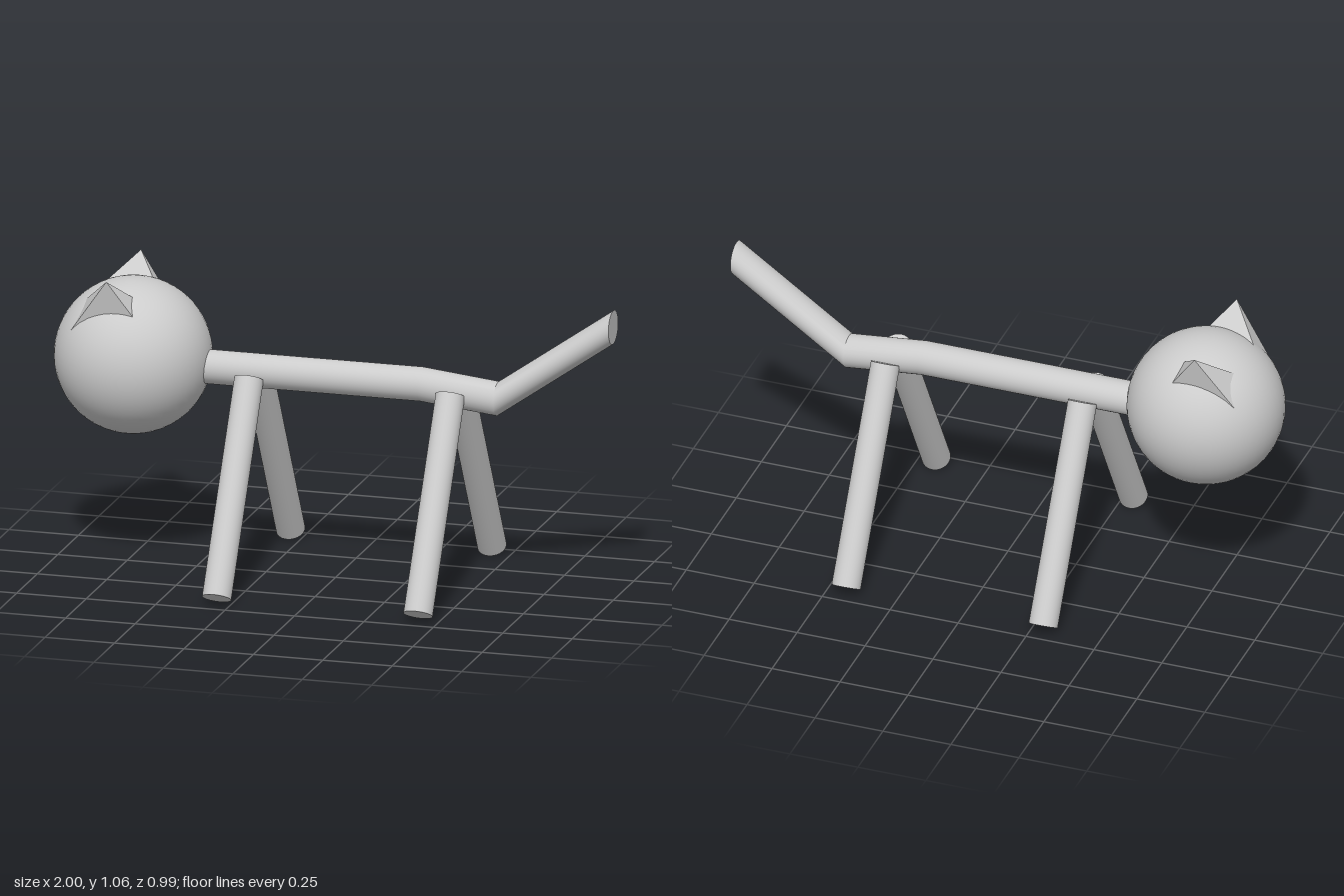
import * as THREE from 'three';
import { toCreasedNormals } from 'three/addons/utils/BufferGeometryUtils.js';

const HEAD = new THREE.Vector3(-0.725, 0.75, 0.01);

export function createModel() {
  const group = new THREE.Group();
  const material = new THREE.MeshStandardMaterial({ color: 0xcccccc });
  const add = (name, geometry, mat = material) => {
    const mesh = new THREE.Mesh(geometry, mat);
    mesh.name = name;
    group.add(mesh);
    return mesh;
  };

  // Head
  add('head', new THREE.SphereGeometry(0.275, 48, 32)).position.copy(HEAD);

  // Body and tail: one rod whose upright round sections follow a bent line
  const spine = [[-0.52, 0.725], [0.31, 0.725], [0.585, 0.695], [1, 0.985]];
  const rod = new THREE.CylinderGeometry(0.06, 0.06, 3, 32, 3);
  rod.rotateZ(-Math.PI / 2);
  const p = rod.attributes.position;
  for (let i = 0; i < p.count; i++) {
    const [x, y] = spine[Math.round(p.getX(i) + 1.5)];
    p.setXYZ(i, x, p.getY(i) + y, p.getZ(i));
  }
  add('bodyAndTail', toCreasedNormals(rod, 0.5));

  // Legs: splayed 30 degrees to each side
  const legs = { front: -0.295, rear: 0.43 };
  for (const [end, x] of Object.entries(legs)) {
    for (const side of [1, -1]) {
      const leg = add(`${end}Leg${side > 0 ? 'Near' : 'Far'}`,
        new THREE.CylinderGeometry(0.051, 0.051, 0.785, 32));
      leg.position.set(x, 0.37, side * 0.2535);
      leg.rotation.x = -side * Math.PI / 6;
    }
  }

  // Ears: leaning four-sided spikes with their base corners in the head
  const flat = material.clone();
  flat.flatShading = true;
  const apex = [-0.76, 1.065, 0.212];
  const corners = [
    [-0.92, 0.84, 0.17], [-0.66, 0.925, 0.188],
    [-0.675, 0.975, 0.105], [-0.875, 0.955, 0.085],
  ];
  for (const side of [1, -1]) {
    const place = ([x, y, z]) => [x, y, HEAD.z + side * z];
    const ring = corners.map(place);
    if (side < 0) ring.reverse();
    const points = [];
    ring.forEach((c, i) => points.push(...place(apex), ...c, ...ring[(i + 1) % 4]));
    points.push(...ring[0], ...ring[2], ...ring[1], ...ring[0], ...ring[3], ...ring[2]);
    const ear = new THREE.BufferGeometry();
    ear.setAttribute('position', new THREE.Float32BufferAttribute(points, 3));
    ear.computeVertexNormals();
    add(side > 0 ? 'earNear' : 'earFar', ear, flat);
  }

  return group;
}
